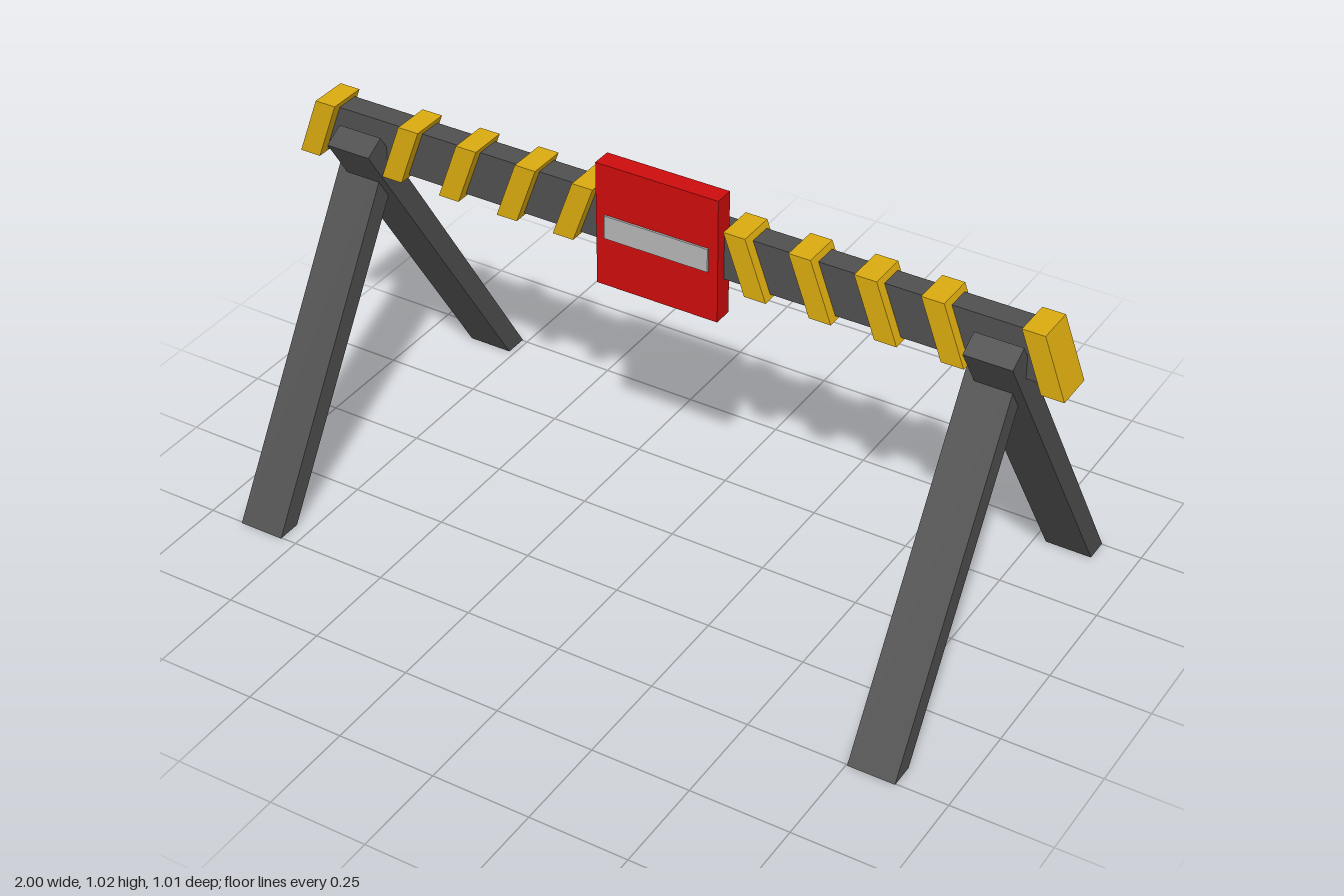
import * as THREE from 'three';

const material = (color) => new THREE.MeshStandardMaterial({ color, flatShading: true });

// Prism from a 2D outline, centred on its thickness
function prism(points, depth) {
  const shape = new THREE.Shape(points.map(([x, y]) => new THREE.Vector2(x, y)));
  return new THREE.ExtrudeGeometry(shape, { depth, bevelEnabled: false }).translate(0, 0, -depth / 2);
}

export function createModel() {
  const model = new THREE.Group();
  model.name = 'roadBarrier';
  const dark = material(0x4f4f4f);
  const yellow = material(0xdaaa10);
  const red = material(0xcc0c0c);
  const grey = material(0xb4b4b4);

  const add = (name, geometry, mat, x = 0, y = 0, z = 0) => {
    const mesh = new THREE.Mesh(geometry, mat);
    mesh.name = name;
    mesh.position.set(x, y, z);
    model.add(mesh);
    return mesh;
  };

  // Crossbeam
  add('crossbeam', new THREE.BoxGeometry(1.88, 0.125, 0.06), dark, 0, 0.862, 0);

  // Crossed legs: feet cut flat on the ground, tops cut square
  const legOutline = [[0.503, 0], [0.44, 0], [-0.102, 0.862], [-0.051, 0.891]];
  for (const side of [1, -1]) {
    for (const [name, dir] of [['frontLeg', 1], ['backLeg', -1]]) {
      const geometry = prism(legOutline.map(([z, y]) => [z * dir, y]), 0.118);
      geometry.rotateY(-Math.PI / 2);
      add(name, geometry, dark, side * 0.83 - dir * 0.013 + 0.0 - (side > 0 ? 0.005 : 0.007));
    }
  }

  // Slanted hazard bands, leaning towards the middle on both halves
  for (const side of [1, -1]) {
    for (const x of [0.945, 0.708, 0.546, 0.384, side > 0 ? 0.22 : 0.23]) {
      const outline = [[x, 0.79], [x + 0.055, 0.79], [x, 0.94], [x - 0.055, 0.94]];
      add('hazardBand', prism(outline.map(([px, y]) => [px * side, y]), 0.098), yellow, 0, 0, 0.007);
    }
  }

  // Sign board with its pale bar
  add('signBoard', new THREE.BoxGeometry(0.318, 0.318, 0.05), red, -0.006, 0.858, 0.033);
  add('signBar', new THREE.BoxGeometry(0.27, 0.06, 0.02), grey, -0.006, 0.857, 0.053);

  return model;
}
